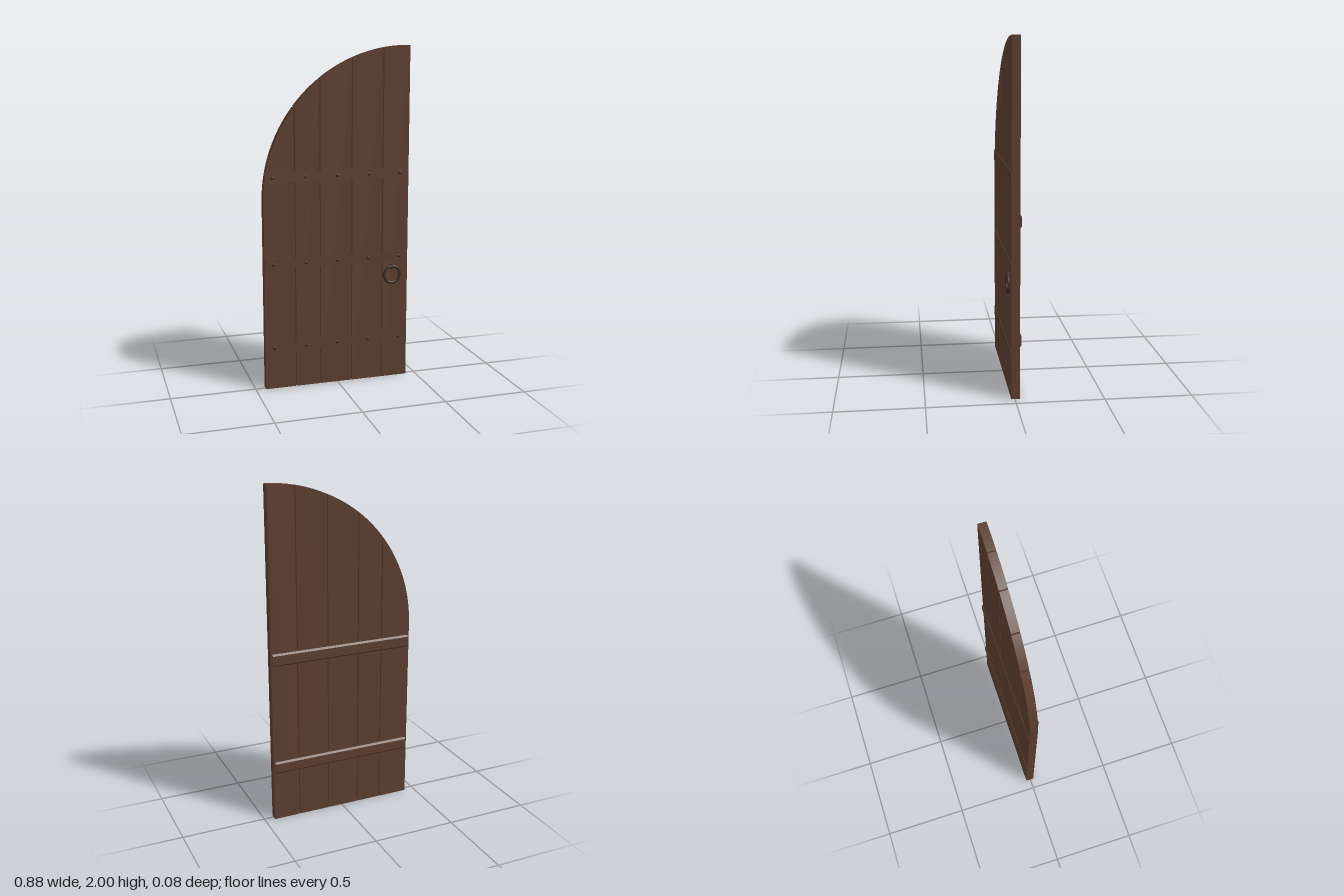
import * as THREE from 'three';

const HALF = 0.44, SPRING = 1.12, R = 0.88;
const BACK = -0.028, FRONT = 0.02;

export function createModel() {
  const door = new THREE.Group();
  door.name = 'archedDoorLeaf';
  const wood = new THREE.MeshStandardMaterial({ name: 'brown wood', color: 0x5c3d2e });
  const iron = new THREE.MeshStandardMaterial({ name: 'dark iron', color: 0x3c2a22 });

  const add = (name, geometry, material, x = 0, y = 0, z = 0) => {
    const mesh = new THREE.Mesh(geometry, material);
    mesh.name = name;
    mesh.position.set(x, y, z);
    door.add(mesh);
    return mesh;
  };

  // Height of the quarter arch at x
  const archY = x => SPRING + Math.sqrt(Math.max(0, R * R - (x - HALF) ** 2));

  // Vertical planks, each cut along the arch
  const joints = [-HALF, -0.255, -0.104, 0.089, 0.279, HALF];
  for (let i = 0; i < 5; i++) {
    const x0 = joints[i] + (i > 0 ? 0.003 : 0);
    const x1 = joints[i + 1] - (i < 4 ? 0.003 : 0);
    const shape = new THREE.Shape();
    shape.moveTo(x0, 0);
    shape.lineTo(x1, 0);
    const a1 = Math.acos((x1 - HALF) / R), a0 = Math.acos(Math.max(-1, (x0 - HALF) / R));
    for (let k = 0; k <= 12; k++) {
      const a = a1 + (a0 - a1) * k / 12;
      const x = HALF + R * Math.cos(a);
      shape.lineTo(x, archY(x));
    }
    const geo = new THREE.ExtrudeGeometry(shape, { depth: FRONT - BACK, bevelEnabled: false });
    add('plank' + (i + 1), geo, wood, 0, 0, BACK);
  }

  // Front straps with domed rivets
  for (const y of [1.26, 0.755, 0.25]) {
    add('strap', new THREE.BoxGeometry(0.863, 0.06, 0.008), wood, 0, y, 0.019);
    for (let i = -2; i <= 2; i++) {
      const rivet = add('rivet', new THREE.SphereGeometry(0.01, 10, 5, 0, Math.PI * 2, 0, Math.PI / 2),
        iron, i * 0.193, y, 0.0225);
      rivet.rotation.x = Math.PI / 2;
      rivet.scale.y = 0.5;
    }
  }

  // Back battens with sloped long edges
  for (const y of [1.01, 0.337]) {
    const profile = new THREE.Shape([
      [0.026, -0.04], [0.037, -0.027], [0.037, 0.027], [0.026, 0.04],
    ].map(([z, h]) => new THREE.Vector2(z, h)));
    const geo = new THREE.ExtrudeGeometry(profile, { depth: 0.86, bevelEnabled: false });
    geo.translate(0, 0, -0.43);
    geo.rotateY(Math.PI / 2);
    add('batten', geo, wood, 0, y, 0);
  }

  // Ring handle hanging from a small eye
  const ring = add('ringHandle', new THREE.TorusGeometry(0.05, 0.009, 8, 28), iron, 0.34, 0.645, 0.029);
  ring.scale.z = 0.9;
  const mount = add('ringMount', new THREE.CylinderGeometry(0.018, 0.018, 0.012, 12), iron, 0.34, 0.69, 0.025);
  mount.rotation.x = Math.PI / 2;
  add('ringEye', new THREE.TorusGeometry(0.011, 0.004, 6, 12), iron, 0.34, 0.695, 0.031).rotation.y = Math.PI / 2.5;

  return door;
}
